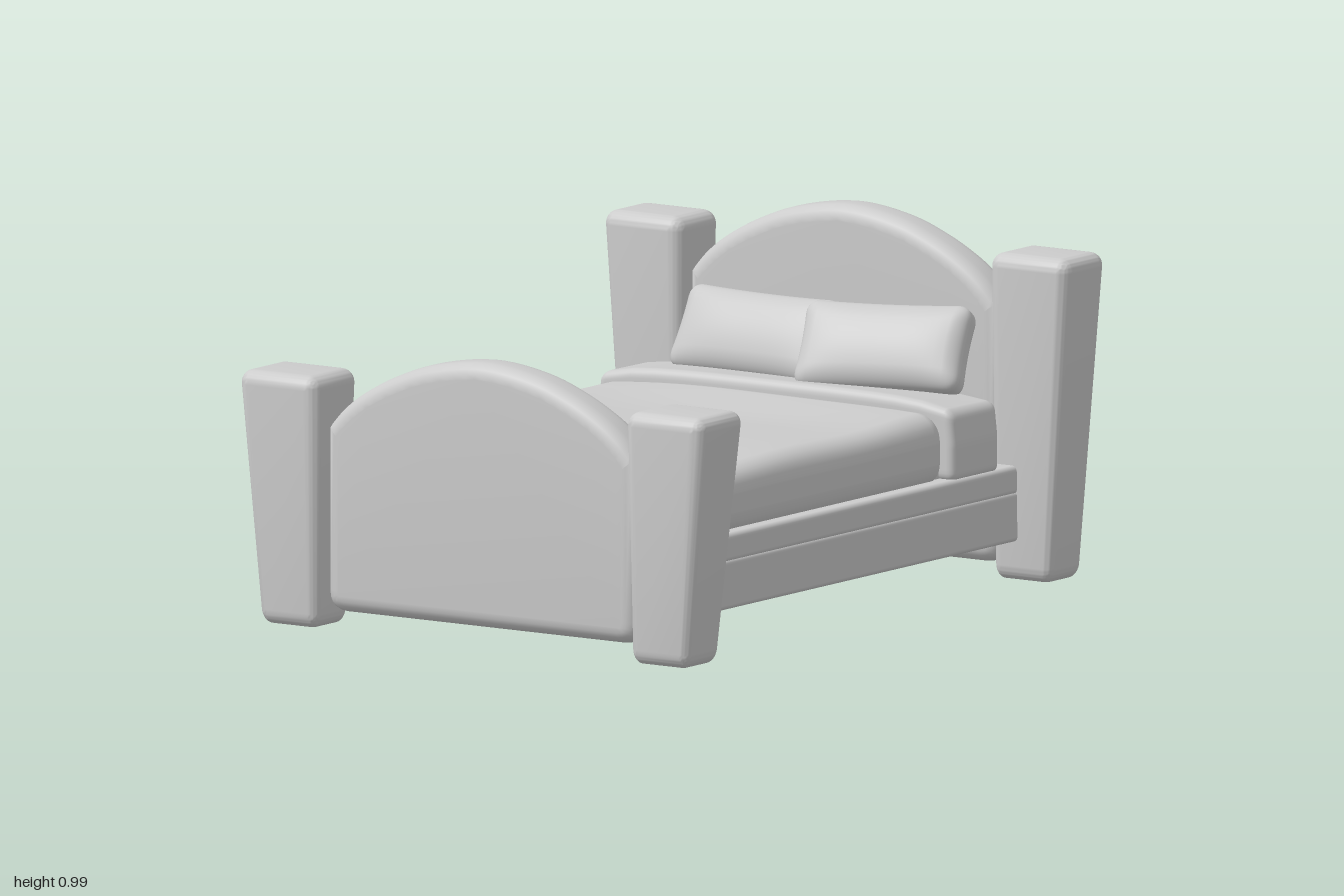
import * as THREE from 'three';
import { RoundedBoxGeometry } from 'three/addons/geometries/RoundedBoxGeometry.js';
import { mergeVertices, toCreasedNormals } from 'three/addons/utils/BufferGeometryUtils.js';

const material = new THREE.MeshStandardMaterial({ color: 0xcccccc });

function part(name, geometry, x = 0, y = 0, z = 0) {
  const mesh = new THREE.Mesh(geometry, material);
  mesh.name = name;
  mesh.position.set(x, y, z);
  return mesh;
}

// Moves every vertex by a rule
function reshape(geometry, rule) {
  const pos = geometry.attributes.position;
  const v = new THREE.Vector3();
  for (let i = 0; i < pos.count; i++) {
    v.fromBufferAttribute(pos, i);
    rule(v);
    pos.setXYZ(i, v.x, v.y, v.z);
  }
  return geometry;
}

// Finely divided box with round edges, then shaped by a rule; smooth all over
function softBox(w, h, d, r, rule) {
  const half = [w / 2, h / 2, d / 2];
  let g = new THREE.BoxGeometry(2, 2, 2, 20, 20, 20);
  g.deleteAttribute('uv');
  g.deleteAttribute('normal');
  g = mergeVertices(g);
  const inner = new THREE.Vector3();
  reshape(g, (v) => {
    ['x', 'y', 'z'].forEach((axis, i) => {
      const t = Math.abs(v[axis]);
      const core = half[i] - r;
      const size = t > 0.7 ? core + ((t - 0.7) / 0.3) * r : (t / 0.7) * core;
      v[axis] = Math.sign(v[axis]) * size;
      inner[axis] = THREE.MathUtils.clamp(v[axis], -core, core);
    });
    v.sub(inner).setLength(r).add(inner);
    rule(v);
  });
  g.computeVertexNormals();
  return g;
}

// Post that widens upwards, mostly on its outer side
function makePost(name, side, height, z, topDepth, bottomDepth, bottomShift) {
  const g = new RoundedBoxGeometry(0.265, height, topDepth, 5, 0.04);
  reshape(g, (v) => {
    const down = 0.5 - v.y / height;
    const outward = THREE.MathUtils.lerp(v.x, v.x * 0.72 - 0.028, down);
    v.x = outward;
    v.z = v.z * THREE.MathUtils.lerp(1, bottomDepth / topDepth, down) + bottomShift * down;
  });
  // The right-hand post leans the other way
  if (side < 0) g.rotateY(Math.PI).scale(1, 1, 1);
  if (side < 0) g.translate(0, 0, 2 * bottomShift * 0.5);
  g.computeBoundingBox();
  const crease = toCreasedNormals(g, 0.6);
  return part(name, crease, side * 0.6425, height / 2, z);
}

// Arched board with a rounded rim
function makeBoard(name, top, shoulder, bottom, z) {
  const w = 0.52, c = 0.06, rise = top - shoulder;
  const s = new THREE.Shape();
  s.moveTo(-w + c, bottom);
  s.lineTo(w - c, bottom);
  s.quadraticCurveTo(w, bottom, w, bottom + c);
  s.lineTo(w, shoulder);
  s.splineThru([[0.47, 0.24], [0.4, 0.47], [0.3, 0.7], [0.17, 0.9], [0, 1], [-0.17, 0.9],
    [-0.3, 0.7], [-0.4, 0.47], [-0.47, 0.24], [-w, 0]]
    .map(([x, t]) => new THREE.Vector2(x, shoulder + rise * t)));
  s.lineTo(-w, bottom + c);
  s.quadraticCurveTo(-w, bottom, -w + c, bottom);
  const bevel = 0.045, depth = 0.13 - 2 * bevel;
  const g = new THREE.ExtrudeGeometry(s, {
    depth, curveSegments: 5, bevelSize: bevel, bevelThickness: bevel, bevelOffset: -bevel, bevelSegments: 5,
  });
  g.translate(0, 0, -depth / 2);
  return part(name, toCreasedNormals(g, 0.6), 0, 0, z);
}

function makePillow(name, w, h, d) {
  const g = softBox(w, h, d, 0.045, (v) => {
    const u = (2 * v.x) / w, t = (2 * v.y) / h;
    v.z *= 0.62 + 0.38 * (1 - u * u * u * u) * (1 - t * t);
    // Sides pull in a little between the corners
    v.x *= 0.965 + 0.035 * t * t;
    v.y *= 0.95 + 0.05 * u * u;
  });
  return part(name, g);
}

export function createModel() {
  const bed = new THREE.Group();
  bed.name = 'bed';

  // Four posts
  bed.add(
    makePost('frontLeftPost', 1, 0.705, 0.857, 0.225, 0.16, 0.01),
    makePost('frontRightPost', -1, 0.705, 0.885, 0.225, 0.16, -0.01),
    makePost('backLeftPost', 1, 0.91, -0.895, 0.21, 0.16, 0.01),
    makePost('backRightPost', -1, 0.91, -0.868, 0.21, 0.16, -0.01),
  );

  // Arched boards
  bed.add(
    makeBoard('footboard', 0.785, 0.56, 0.045, 0.86),
    makeBoard('headboard', 0.99, 0.76, 0.035, -0.89),
  );

  // Frame: lower rails round a recessed floor, upper ledge above
  const frame = new THREE.Group();
  frame.name = 'frame';
  for (const side of [-1, 1]) {
    frame.add(part(side > 0 ? 'leftRail' : 'rightRail',
      new RoundedBoxGeometry(0.05, 0.14, 1.63, 3, 0.014), side * 0.58, 0.18, -0.015));
    frame.add(part(side > 0 ? 'frontRail' : 'backRail',
      new RoundedBoxGeometry(1.2, 0.14, 0.05, 3, 0.014), 0, 0.18, -0.015 + side * 0.79));
  }
  frame.add(part('floor', new THREE.BoxGeometry(1.15, 0.1, 1.6), 0, 0.185, -0.015));
  frame.add(part('ledge', new RoundedBoxGeometry(1.21, 0.08, 1.63, 3, 0.016), 0, 0.282, -0.015));
  bed.add(frame);

  // Mattress
  bed.add(part('mattress', new RoundedBoxGeometry(1.1, 0.2, 1.54, 5, 0.05), 0, 0.375, -0.045));

  // Blanket with gentle waves, rising towards the fold
  const blanket = softBox(1.15, 0.2, 1.28, 0.07, (v) => {
    if (v.y <= 0) return;
    const k = v.y / 0.1;
    v.y += k * (0.005 * Math.sin(v.x * 6 + v.z * 4) + 0.005 * Math.cos(v.z * 8 - v.x * 2));
    v.y += k * 0.025 * THREE.MathUtils.smoothstep(-v.z, 0.25, 0.64) * (1 - (v.x / 0.575) ** 2);
  });
  bed.add(part('blanket', blanket, 0, 0.396, 0.12));

  // Turned-down fold of the blanket
  const fold = softBox(1.2, 0.21, 0.23, 0.025, (v) => {
    if (v.y <= 0) return;
    const edge = Math.abs(v.x) / 0.6;
    v.y += (v.y / 0.105) * (0.02 * (1 - edge ** 4) * (0.6 + v.z * 4) - 0.015 * edge ** 12);
    // Upper side edges slope in
    v.x *= 1 - 0.02 * (v.y / 0.105);
  });
  bed.add(part('blanketFold', fold, 0, 0.418, -0.615));

  // Pillows leaning on the headboard
  const leftPillow = makePillow('leftPillow', 0.5, 0.26, 0.14);
  leftPillow.position.set(0.24, 0.63, -0.69);
  leftPillow.rotation.set(-0.55, 0.2, 0.03, 'YXZ');
  const rightPillow = makePillow('rightPillow', 0.53, 0.25, 0.14);
  rightPillow.position.set(-0.2, 0.62, -0.715);
  rightPillow.rotation.set(-0.5, -0.05, 0, 'YXZ');
  bed.add(leftPillow, rightPillow);

  return bed;
}
